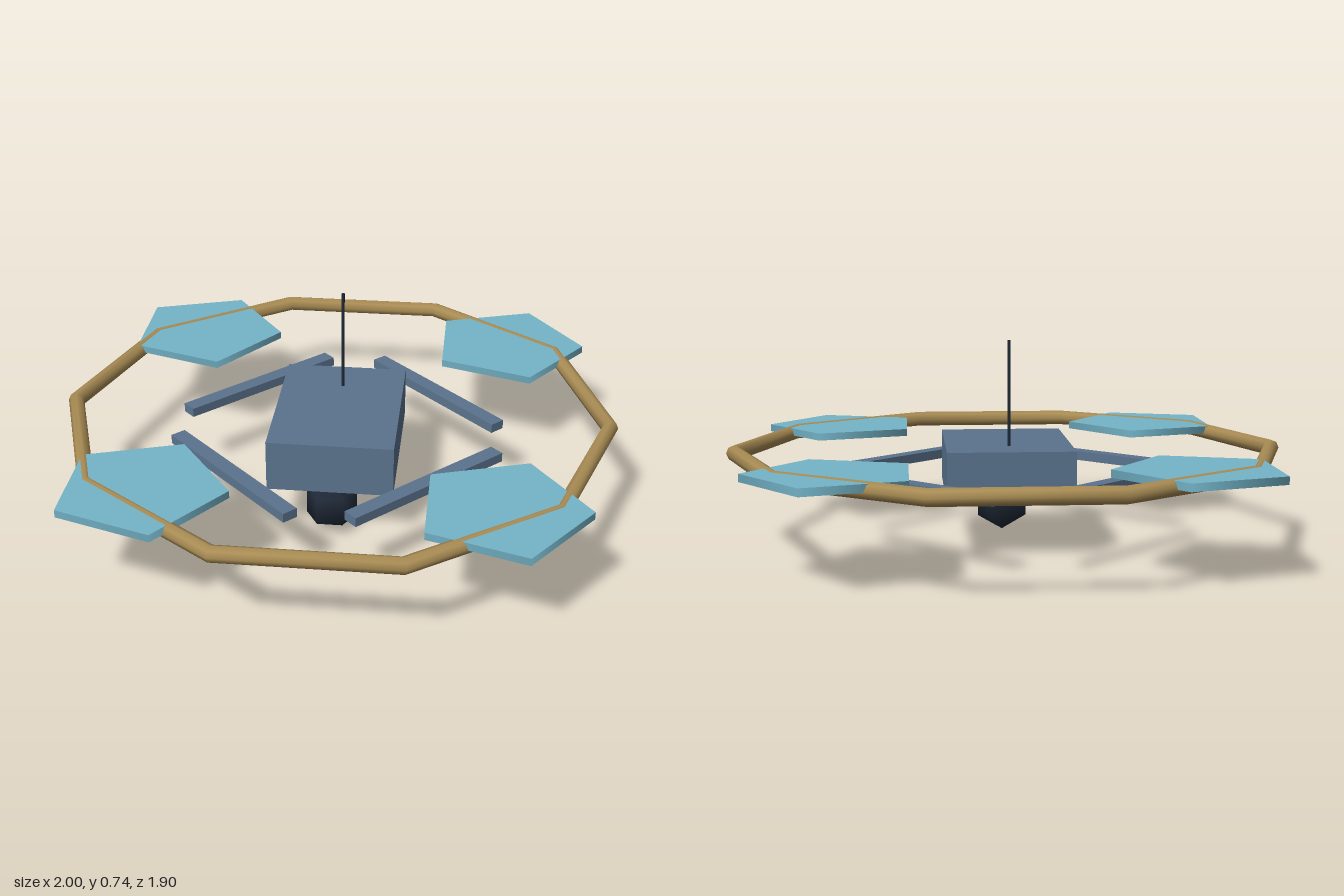
import * as THREE from 'three';

export function createModel() {
  const model = new THREE.Group();
  model.name = 'quadcopter';

  const material = (name, color) => {
    const m = new THREE.MeshStandardMaterial({ color });
    m.name = name;
    return m;
  };
  const slate = material('slate blue', 0x5b738e);
  const tan = material('tan', 0xa98c54);
  const aqua = material('rotor aqua', 0x74b4c8);
  const dark = material('dark navy', 0x1f2937);

  const add = (name, geometry, mat, x, y, z) => {
    const mesh = new THREE.Mesh(geometry, mat);
    mesh.name = name;
    mesh.position.set(x, y, z);
    model.add(mesh);
    return mesh;
  };

  // Central body
  add('body', new THREE.BoxGeometry(0.445, 0.186, 0.596), slate, 0, 0.277, 0);

  // Ten-sided guard ring, laid flat
  const ring = add('guardRing', new THREE.TorusGeometry(0.971, 0.029, 8, 10), tan, 0, 0.332, 0);
  ring.rotation.x = Math.PI / 2;

  // Four arms and four rotor discs, one per corner
  const armShape = new THREE.BoxGeometry(0.67, 0.034, 0.057);
  const rotorShape = new THREE.CylinderGeometry(0.298, 0.298, 0.027, 5);
  for (const sx of [-1, 1]) {
    for (const sz of [-1, 1]) {
      const place = (sz > 0 ? 'front' : 'back') + (sx > 0 ? 'Left' : 'Right');
      const arm = add(place + 'Arm', armShape, slate, sx * 0.337, 0.259, sz * 0.336);
      arm.rotation.y = sx * sz * Math.PI / 4;
      const rotor = add(place + 'Rotor', rotorShape, aqua, sx * 0.595, 0.343, sz * 0.597);
      rotor.rotation.y = Math.PI / 2; // one corner points to +x
    }
  }

  // Faceted camera ball below the nose
  add('camera', new THREE.SphereGeometry(0.104, 6, 3), dark, 0, 0.104, 0.224);

  // Thin antenna towards the back
  add('antenna', new THREE.CylinderGeometry(0.006, 0.006, 0.39, 6), dark, 0, 0.547, -0.149);

  return model;
}
